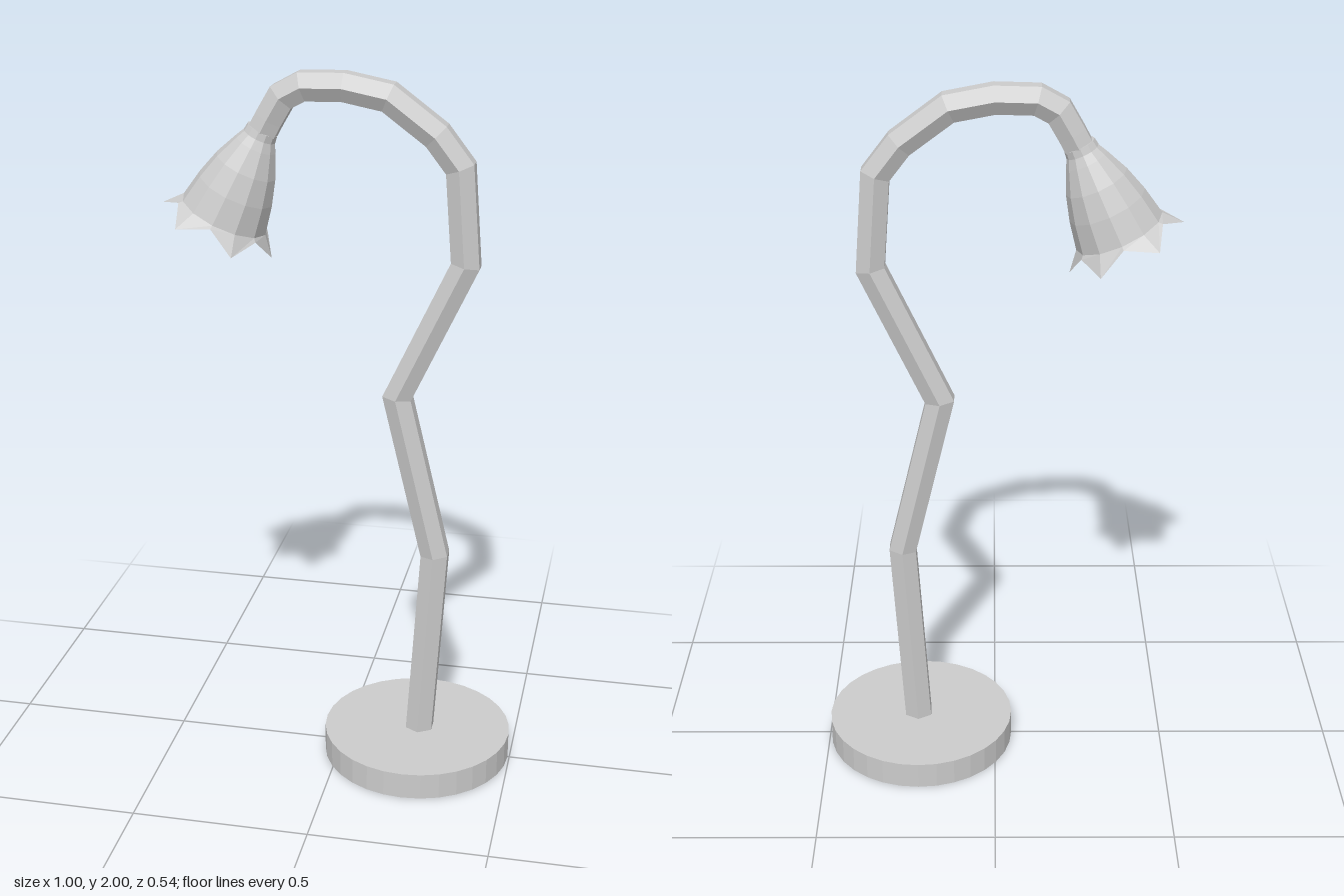
import * as THREE from 'three';

const makeMaterial = (side = THREE.FrontSide) =>
  new THREE.MeshStandardMaterial({ color: 0xcccccc, flatShading: true, side });

// Hexagonal tube with mitred joints along a path in the xy plane
function mitredTube(path, radius, sides = 6) {
  const pts = path.map(([x, y]) => new THREE.Vector2(x, y));
  const positions = [], index = [];
  pts.forEach((p, i) => {
    const before = pts[Math.max(i - 1, 0)], after = pts[Math.min(i + 1, pts.length - 1)];
    const dirIn = (i ? p.clone().sub(before) : after.clone().sub(p)).normalize();
    const dirOut = (i < pts.length - 1 ? after.clone().sub(p) : dirIn.clone()).normalize();
    const t = dirIn.clone().add(dirOut).normalize();
    const stretch = 1 / t.dot(dirIn);
    for (let k = 0; k < sides; k++) {
      const a = (k / sides) * Math.PI * 2;
      const off = Math.sin(a) * radius * stretch;
      positions.push(p.x + t.y * off, p.y - t.x * off, Math.cos(a) * radius);
    }
  });
  for (let i = 0; i < pts.length - 1; i++) {
    for (let k = 0; k < sides; k++) {
      const a = i * sides + k, b = i * sides + (k + 1) % sides;
      index.push(a, b, b + sides, a, b + sides, a + sides);
    }
  }
  const last = (pts.length - 1) * sides;
  for (let k = 1; k < sides - 1; k++) {
    index.push(0, k + 1, k, last, last + k, last + k + 1);
  }
  const geo = new THREE.BufferGeometry();
  geo.setAttribute('position', new THREE.Float32BufferAttribute(positions, 3));
  geo.setIndex(index);
  geo.computeVertexNormals();
  return geo;
}

// Twelve-sided bell whose rim alternates between six petal tips and six notches
function petalBell() {
  const profile = [[0.04, 0.3], [0.058, 0.265], [0.087, 0.2], [0.108, 0.13], [0.124, 0.05], [0.166, 0]]
    .map(([r, y]) => new THREE.Vector2(r, y));
  const rows = profile.length;
  const geo = new THREE.LatheGeometry(profile, 12, Math.PI / 2);
  const pos = geo.attributes.position;
  for (let column = 1; column < 12; column += 2) {
    const v = column * rows + rows - 1;
    const s = 0.134 / 0.166;
    pos.setXYZ(v, pos.getX(v) * s, 0.042, pos.getZ(v) * s);
  }
  geo.computeVertexNormals();
  return geo;
}

export function createModel() {
  const model = new THREE.Group();
  const add = (name, geo, parent = model, side) => {
    const mesh = new THREE.Mesh(geo, makeMaterial(side));
    mesh.name = name;
    parent.add(mesh);
    return mesh;
  };

  // Round base
  add('base', new THREE.CylinderGeometry(0.272, 0.272, 0.077, 32)).position.set(0.223, 0.0385, 0);

  // Crooked stem with curved neck
  add('stem', mitredTube([
    [0.228, 0.04], [0.265, 0.645], [0.152, 1.115], [0.332, 1.502], [0.312, 1.762],
    [0.248, 1.845], [0.12, 1.94], [0, 1.963], [-0.11, 1.96], [-0.165, 1.93],
    [-0.2, 1.87], [-0.217, 1.838],
  ], 0.0435));

  // Tilted flower shade, open at the rim
  const shade = new THREE.Group();
  shade.name = 'flowerShade';
  shade.position.set(-0.35, 1.56, 0);
  shade.rotation.z = -0.437;
  model.add(shade);
  add('petals', petalBell(), shade, THREE.DoubleSide);
  add('collar', new THREE.CylinderGeometry(0.043, 0.046, 0.02, 12), shade).position.y = 0.3;

  return model;
}
